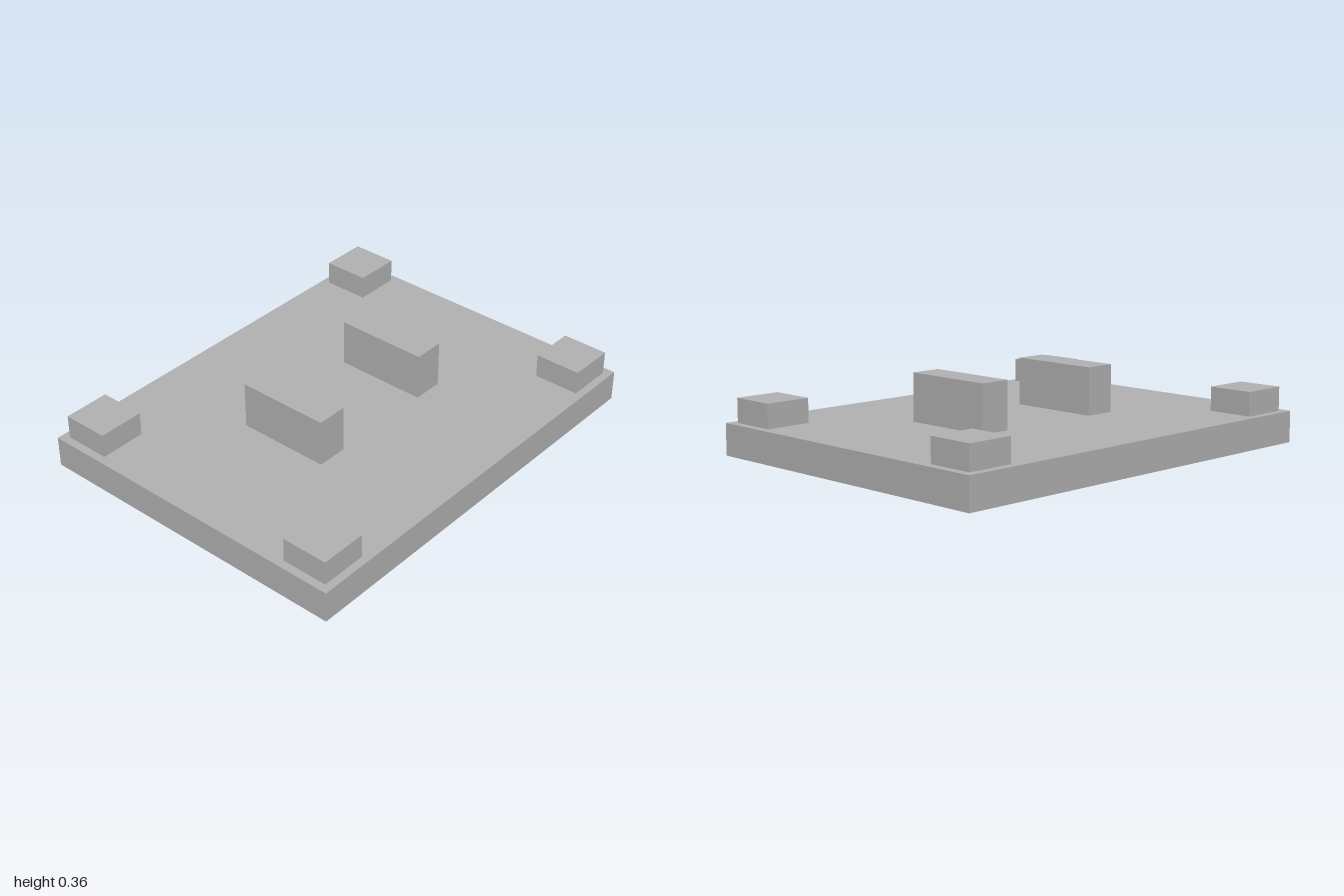
import * as THREE from 'three';

export function createModel() {
  const model = new THREE.Group();
  const grey = new THREE.MeshStandardMaterial({ color: 0xb3b3b3 });
  grey.name = 'grey';

  // Adds a box whose underside rests at height y
  function block(name, w, h, d, x, y, z) {
    const mesh = new THREE.Mesh(new THREE.BoxGeometry(w, h, d), grey);
    mesh.name = name;
    mesh.position.set(x, y + h / 2, z);
    model.add(mesh);
  }

  // Base plate
  const top = 0.145;
  block('basePlate', 2, top, 1.545, 0, 0, 0);

  for (const sx of [-1, 1]) {
    const side = sx > 0 ? 'left' : 'right';

    // Tall central ribs
    block(`${side}Rib`, 0.145, 0.218, 0.436, sx * 0.327, top, 0);

    // Low corner pads
    for (const sz of [-1, 1]) {
      const end = sz > 0 ? 'Front' : 'Back';
      block(`${side}${end}Pad`, 0.218, 0.111, 0.218, sx * 0.853, top, sz * 0.627);
    }
  }
  return model;
}
